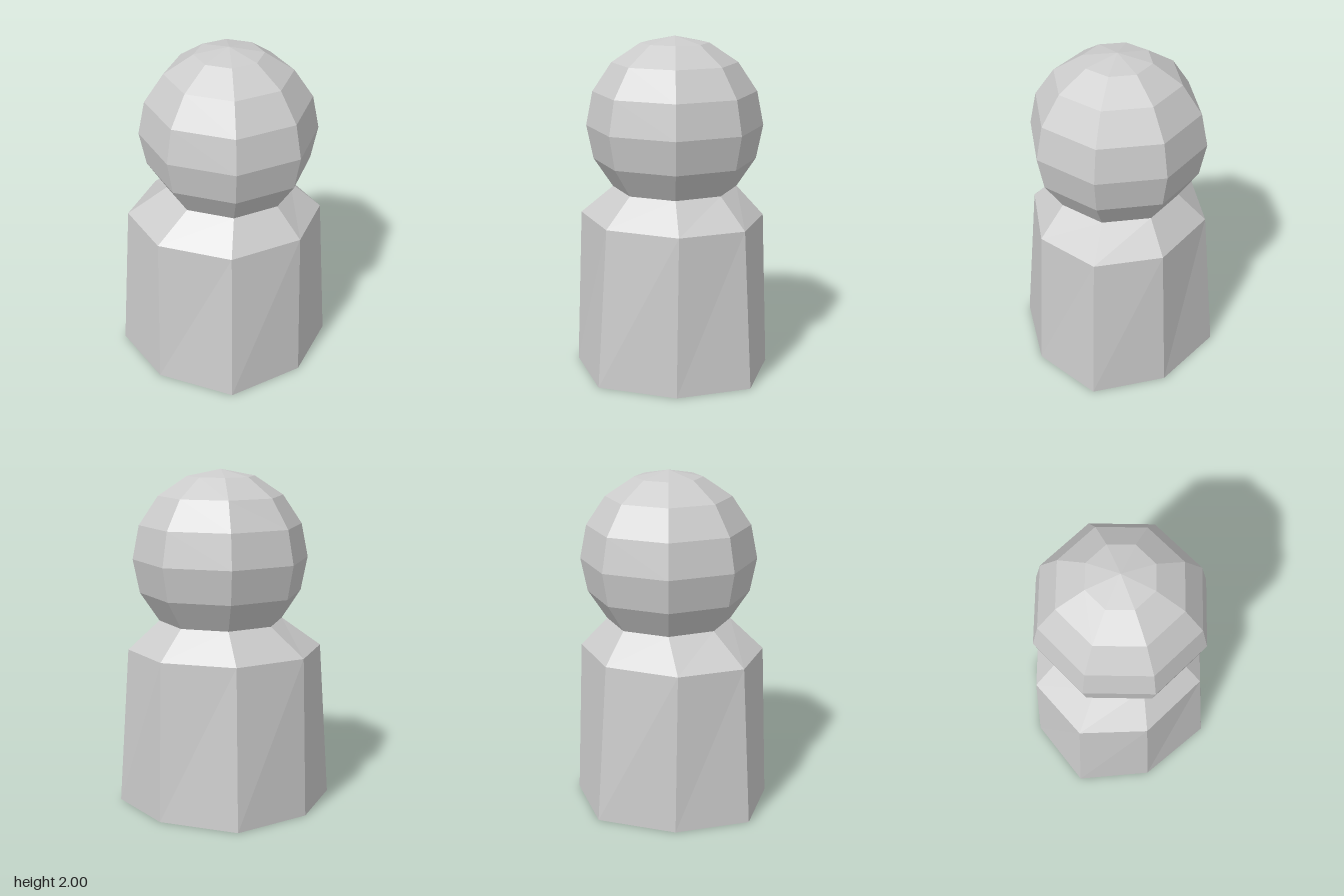
import * as THREE from 'three';

const SIDES = 8;
const HEAD_R = 0.52, HEAD_X = 0.025, HEAD_Y = 1.48;

// Eight-sided ring: cx = centre x, rx/rz = axis corners, dx/dz = diagonal corners
function ring(y, cx, rx, rz, dx, dz) {
  return Array.from({ length: SIDES }, (_, i) => {
    const a = (i * Math.PI * 2) / SIDES;
    const diagonal = i % 2 === 1;
    const x = diagonal ? Math.sign(Math.sin(a)) * dx : Math.round(Math.sin(a)) * rx;
    const z = diagonal ? Math.sign(Math.cos(a)) * dz : Math.round(Math.cos(a)) * rz;
    return [cx + x, y, z];
  });
}

// Faceted skin through a stack of rings, optionally closed underneath
function loft(rings, closeBottom) {
  const pos = [];
  for (let r = 0; r < rings.length - 1; r++) {
    for (let i = 0; i < SIDES; i++) {
      const j = (i + 1) % SIDES;
      const a = rings[r][i], b = rings[r][j], c = rings[r + 1][j], d = rings[r + 1][i];
      pos.push(...a, ...b, ...c, ...a, ...c, ...d);
    }
  }
  if (closeBottom) {
    const base = rings[0];
    for (let i = 1; i < SIDES - 1; i++) pos.push(...base[0], ...base[i + 1], ...base[i]);
  }
  const geo = new THREE.BufferGeometry();
  geo.setAttribute('position', new THREE.Float32BufferAttribute(pos, 3));
  geo.computeVertexNormals();
  return geo;
}

export function createModel() {
  const model = new THREE.Group();
  model.name = 'pegFigure';
  const material = new THREE.MeshStandardMaterial({
    color: 0xcccccc, flatShading: true, side: THREE.DoubleSide,
  });
  const add = (name, geometry) => {
    const mesh = new THREE.Mesh(geometry, material);
    mesh.name = name;
    model.add(mesh);
    return mesh;
  };

  // Tapered body and the shoulders that slope in to the neck
  const neckR = HEAD_R * Math.SQRT1_2, neckD = neckR * Math.SQRT1_2;
  const base = ring(0, 0, 0.643, 0.61, 0.428, 0.395);
  const shoulder = ring(0.94, 0, 0.58, 0.53, 0.41, 0.36);
  const neck = ring(HEAD_Y - neckR, HEAD_X, neckR, neckR, neckD, neckD);
  add('body', loft([base, shoulder], true));
  add('shoulders', loft([shoulder, neck], false));

  // Head: faceted ball, open where it meets the neck
  const head = add('head', new THREE.SphereGeometry(HEAD_R, SIDES, 6, 0, Math.PI * 2, 0, Math.PI * 0.75));
  head.position.set(HEAD_X, HEAD_Y, 0);

  return model;
}
